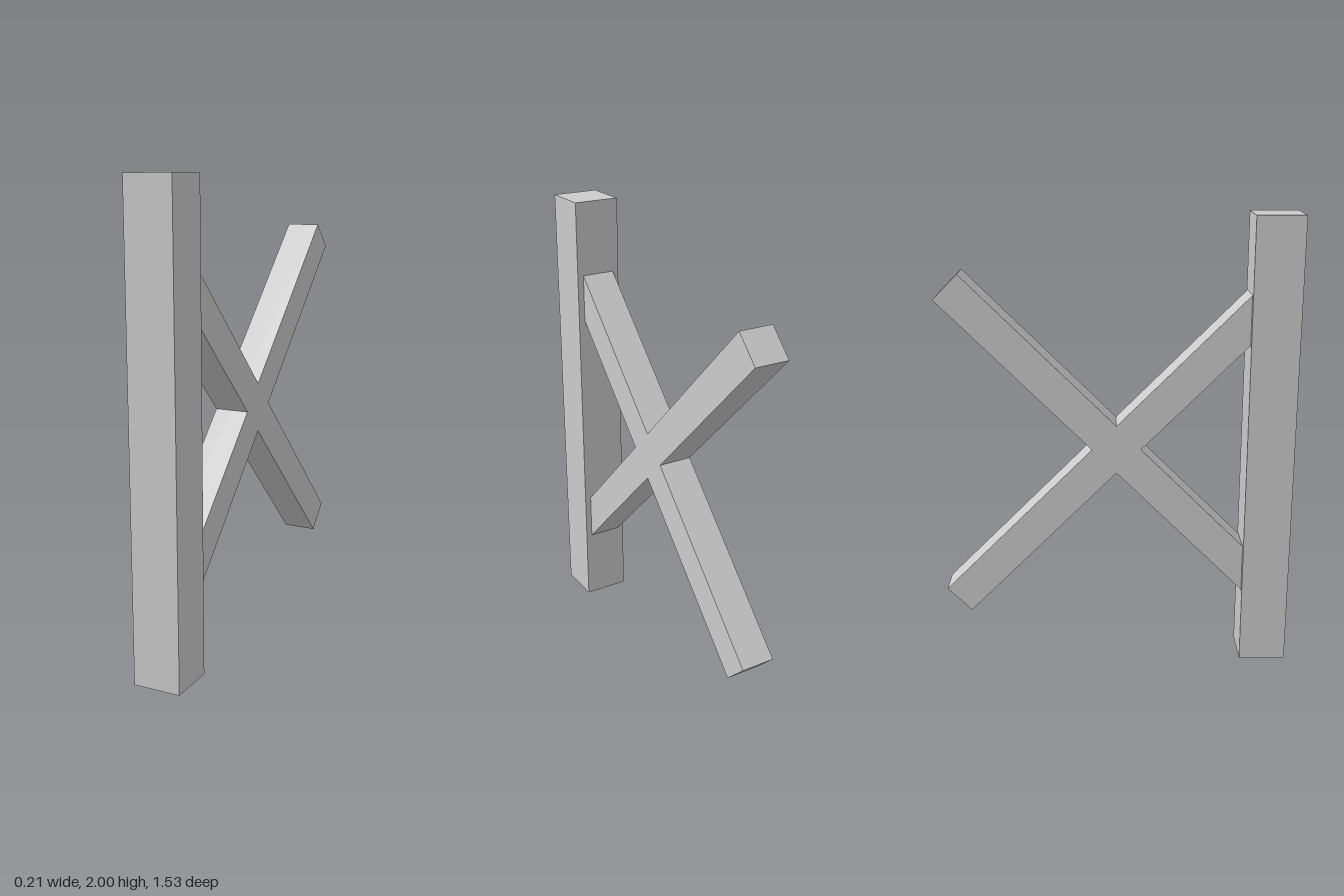
import * as THREE from 'three';

export function createModel() {
  const model = new THREE.Group();
  const material = new THREE.MeshStandardMaterial({ color: 0xcccccc, flatShading: true });

  function addBeam(name, width, height, depth, y, z, tilt = 0) {
    const mesh = new THREE.Mesh(new THREE.BoxGeometry(width, height, depth), material);
    mesh.name = name;
    mesh.position.set(0, y, z);
    mesh.rotation.x = tilt;
    model.add(mesh);
  }

  // upright post at the front
  addBeam('post', 0.206, 2, 0.206, 1, 0.662);

  // two crossed braces, their front ends buried in the post
  addBeam('risingBrace', 0.15, 2, 0.15, 1.002, -0.004, -Math.PI / 4);
  addBeam('fallingBrace', 0.15, 2, 0.15, 1.002, -0.004, Math.PI / 4);

  return model;
}
